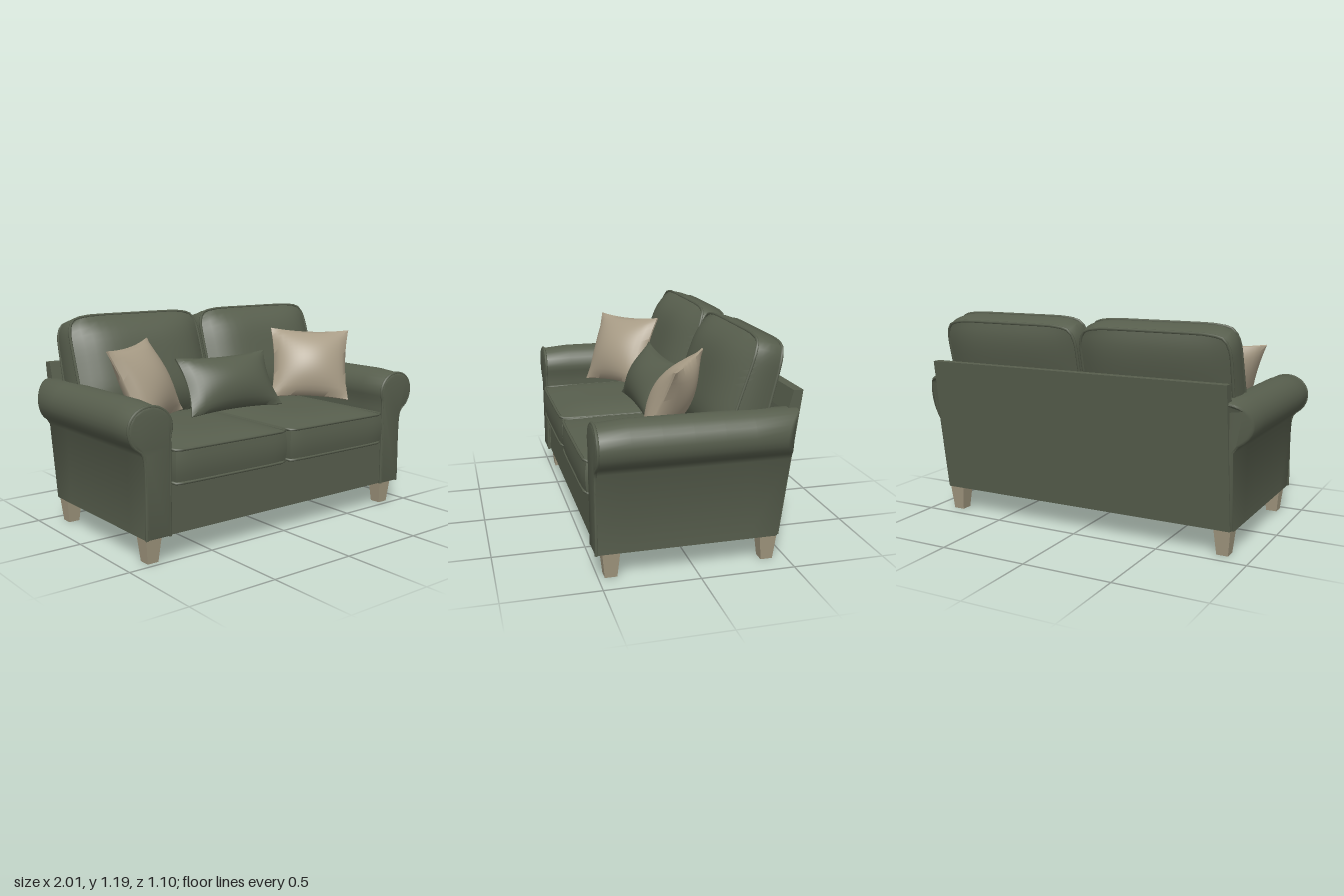
import * as THREE from 'three';
import { toCreasedNormals } from 'three/addons/utils/BufferGeometryUtils.js';

const mat = (name, color) => Object.assign(new THREE.MeshStandardMaterial({ color }), { name });

export function createModel() {
  const green = mat('greenFabric', 0x575e4d);
  const beige = mat('beigeFabric', 0xa89c86);
  const wood = mat('paleWood', 0xa1977f);
  const model = new THREE.Group();
  model.name = 'sofa';

  const add = (name, geometry, material, parent = model) => {
    const mesh = new THREE.Mesh(geometry, material);
    mesh.name = name;
    parent.add(mesh);
    return mesh;
  };

  // Move every vertex of a geometry by a rule, then smooth with sharp edges kept
  const reshape = (geometry, rule, crease = 0.7) => {
    const p = geometry.attributes.position;
    const v = new THREE.Vector3();
    for (let i = 0; i < p.count; i++) {
      rule(v.fromBufferAttribute(p, i));
      p.setXYZ(i, v.x, v.y, v.z);
    }
    return toCreasedNormals(geometry, crease);
  };

  // Boxed cushion with puffed faces and piping round both seams
  const cushion = (name, { w, h, d, front, back, corner, taper = 0 }) => {
    const group = new THREE.Group();
    group.name = name;
    const rule = (p) => {
      const { x: u, y: v, z: t } = p;
      const puff = (1 - u ** 4) * (1 - v ** 4);
      const side = 1 + 0.025 * (1 - t * t);
      const bulge = t > 0.99 ? front * puff : t < -0.99 ? -back * puff : 0;
      return p.set(
        u * (1 - corner * v ** 8) * side * w / 2,
        v * (1 - corner * u ** 8) * side * h / 2,
        t * (1 - taper * v) * d / 2 + bulge);
    };
    add(name + 'Body', reshape(new THREE.BoxGeometry(2, 2, 2, 16, 16, 4), rule), green, group);
    for (const t of [-1, 1]) {
      const points = [];
      for (let side = 0; side < 4; side++) {
        for (let i = 0; i < 10; i++) {
          const s = -1 + i / 5;
          const [u, v] = [[s, -1], [1, s], [-s, 1], [-1, -s]][side];
          points.push(rule(new THREE.Vector3(u, v, t)));
        }
      }
      const path = new THREE.CatmullRomCurve3(points, true);
      add(name + 'Piping', new THREE.TubeGeometry(path, 80, 0.008, 6, true), green, group);
    }
    model.add(group);
    return group;
  };

  // Throw pillow spanned between four corners: top left, top right, bottom left, bottom right
  const pillow = (name, corners, thickness, pinch, material) => {
    const [tl, tr, bl, br] = corners.map((c) => new THREE.Vector3(...c));
    const normal = tr.clone().sub(bl).cross(tl.clone().sub(br)).normalize();
    const geometry = reshape(new THREE.BoxGeometry(2, 2, 2, 16, 16, 1), (p) => {
      const { x, y, z } = p;
      const a = (1 + x * (1 - pinch * (1 - y * y))) / 2;
      const b = (1 + y * (1 - pinch * (1 - x * x))) / 2;
      const puff = ((1 - x * x) * (1 - y * y)) ** 0.7;
      const low = bl.clone().lerp(br, a);
      p.copy(low.lerp(tl.clone().lerp(tr, a), b)).addScaledVector(normal, z * (0.005 + thickness * puff));
    });
    add(name, geometry, material);
  };

  // Base rail under the seat
  add('baseRail', new THREE.BoxGeometry(1.56, 0.26, 0.94), green).position.set(0, 0.27, 0.03);

  // Raked back panel
  const backShape = new THREE.Shape([
    [0.45, 0.14], [0.55, 0.91], [0.5, 0.91], [0.47, 0.8], [0.36, 0.14],
  ].map(([x, y]) => new THREE.Vector2(x, y)));
  const backGeometry = new THREE.ExtrudeGeometry(backShape, { depth: 1.78, bevelEnabled: false });
  backGeometry.translate(0, 0, -0.89).rotateY(Math.PI / 2);
  add('backPanel', backGeometry, green);

  for (const s of [1, -1]) {
    const side = s > 0 ? 'left' : 'right';

    // Rolled arm outline: straight wall with a round scroll on top
    const outline = [[0.905, 0.14], [0.912, 0.56]];
    for (let i = 0; i <= 20; i++) {
      const a = THREE.MathUtils.degToRad(-62 + i * 13.3);
      outline.push([0.875 + 0.125 * Math.cos(a), 0.7 + 0.122 * Math.sin(a)]);
    }
    outline.push([0.762, 0.6], [0.765, 0.14]);
    const shape = new THREE.Shape(outline.map(([x, y]) => new THREE.Vector2(s * x, y)));
    const arm = new THREE.ExtrudeGeometry(shape, {
      depth: 0.94, steps: 6, bevelThickness: 0.012, bevelSize: 0.012, bevelOffset: -0.012, bevelSegments: 2,
    });
    arm.translate(0, 0, -0.43);
    add(side + 'Arm', reshape(arm, (p) => {
      // The back end follows the rake and the scroll tucks in
      if (p.z < -0.4) {
        p.z -= (p.y - 0.14) * 0.125 - Math.max(0, Math.abs(p.x) - 0.92) * 0.8;
      }
      if (p.z > 0.4 && p.y > 0.7) p.y -= (p.y - 0.7) * 0.12;
    }), green);

    // Piping round the arm front
    const path = new THREE.CatmullRomCurve3(outline.map(([x, y]) => new THREE.Vector3(
      s * (x + (0.86 - x) * 0.03), y > 0.7 ? y - (y - 0.7) * 0.12 : y, 0.512)), false, 'centripetal');
    add(side + 'ArmPiping', new THREE.TubeGeometry(path, 70, 0.009, 6), green);

    // Seat cushion
    const seat = cushion(side + 'SeatCushion',
      { w: 0.735, h: 0.83, d: 0.17, front: 0.045, back: 0, corner: 0.03 });
    seat.rotation.x = -Math.PI / 2;
    seat.position.set(s * 0.378, 0.49, 0.12);

    // Leaning back cushion
    const back = cushion(side + 'BackCushion',
      { w: 0.85, h: 0.6, d: 0.16, front: 0.1, back: 0.045, corner: 0.08, taper: 0.15 });
    back.rotation.x = -0.28;
    back.position.set(s * 0.44, 0.87, -0.31);

    // Beige throw pillow turned towards the middle
    const outerTop = [s * 0.87, 1.03, 0.11], innerTop = [s * 0.46, 1.05, -0.16];
    const outerLow = [s * 0.74, 0.62, 0.25], innerLow = [s * 0.33, 0.65, 0.0];
    pillow(side + 'ThrowPillow', s > 0
      ? [innerTop, outerTop, innerLow, outerLow]
      : [outerTop, innerTop, outerLow, innerLow], 0.1, 0.08, beige);

    // Tapered square legs
    for (const [end, z] of [['Front', 0.435], ['Back', -0.395]]) {
      const leg = new THREE.CylinderGeometry(0.047 * Math.SQRT2, 0.032 * Math.SQRT2, 0.15, 4, 1);
      leg.rotateY(Math.PI / 4);
      add(side + end + 'Leg', toCreasedNormals(leg, 0.5), wood).position.set(s * 0.843, 0.075, z);
    }
  }

  // Green lumbar pillow in the middle
  pillow('lumbarPillow', [
    [-0.33, 0.93, -0.07], [0.32, 0.93, -0.07], [-0.34, 0.62, 0.1], [0.33, 0.62, 0.1],
  ], 0.1, 0.1, green);

  return model;
}
